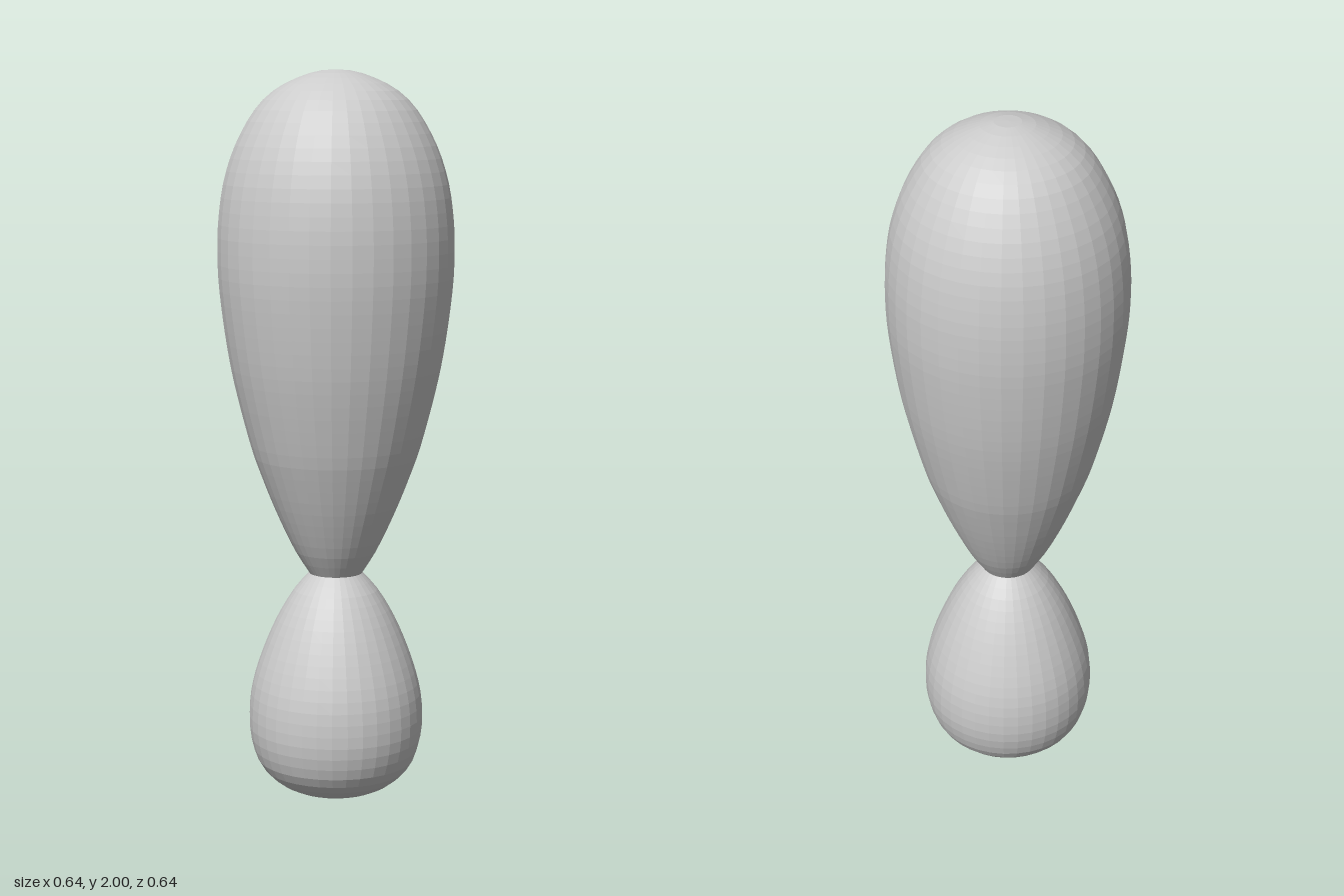
import * as THREE from 'three';

const SIDES = 36;

// Turns a smooth profile of [radius, height] points, listed from bottom to top
function turnedLobe(name, profile, rings, material) {
  const curve = new THREE.SplineCurve(profile.map(([r, y]) => new THREE.Vector2(r, y)));
  const points = curve.getSpacedPoints(rings);
  points.forEach((p) => { p.x = Math.max(p.x, 0); });
  const mesh = new THREE.Mesh(new THREE.LatheGeometry(points, SIDES), material);
  mesh.name = name;
  return mesh;
}

export function createModel() {
  const group = new THREE.Group();
  group.name = 'exclamationMark';
  const material = new THREE.MeshStandardMaterial({
    color: 0xcccccc, flatShading: true, side: THREE.DoubleSide,
  });

  // Small egg-shaped base, flattened underneath
  group.add(turnedLobe('lowerDrop', [
    [0, 0], [0.05, 0.003], [0.1, 0.013], [0.16, 0.04], [0.21, 0.09],
    [0.235, 0.16], [0.241, 0.23], [0.233, 0.31], [0.207, 0.4],
    [0.165, 0.5], [0.118, 0.58], [0.073, 0.632],
  ], 26, material));

  // Long drop tapering down to the pinched neck
  group.add(turnedLobe('upperDrop', [
    [0.073, 0.632], [0.115, 0.7], [0.162, 0.8], [0.202, 0.9], [0.236, 1.0],
    [0.285, 1.2], [0.314, 1.4], [0.32, 1.53], [0.314, 1.63], [0.298, 1.72],
    [0.266, 1.81], [0.213, 1.9], [0.15, 1.956], [0.06, 1.994], [0, 2],
  ], 44, material));

  return group;
}
